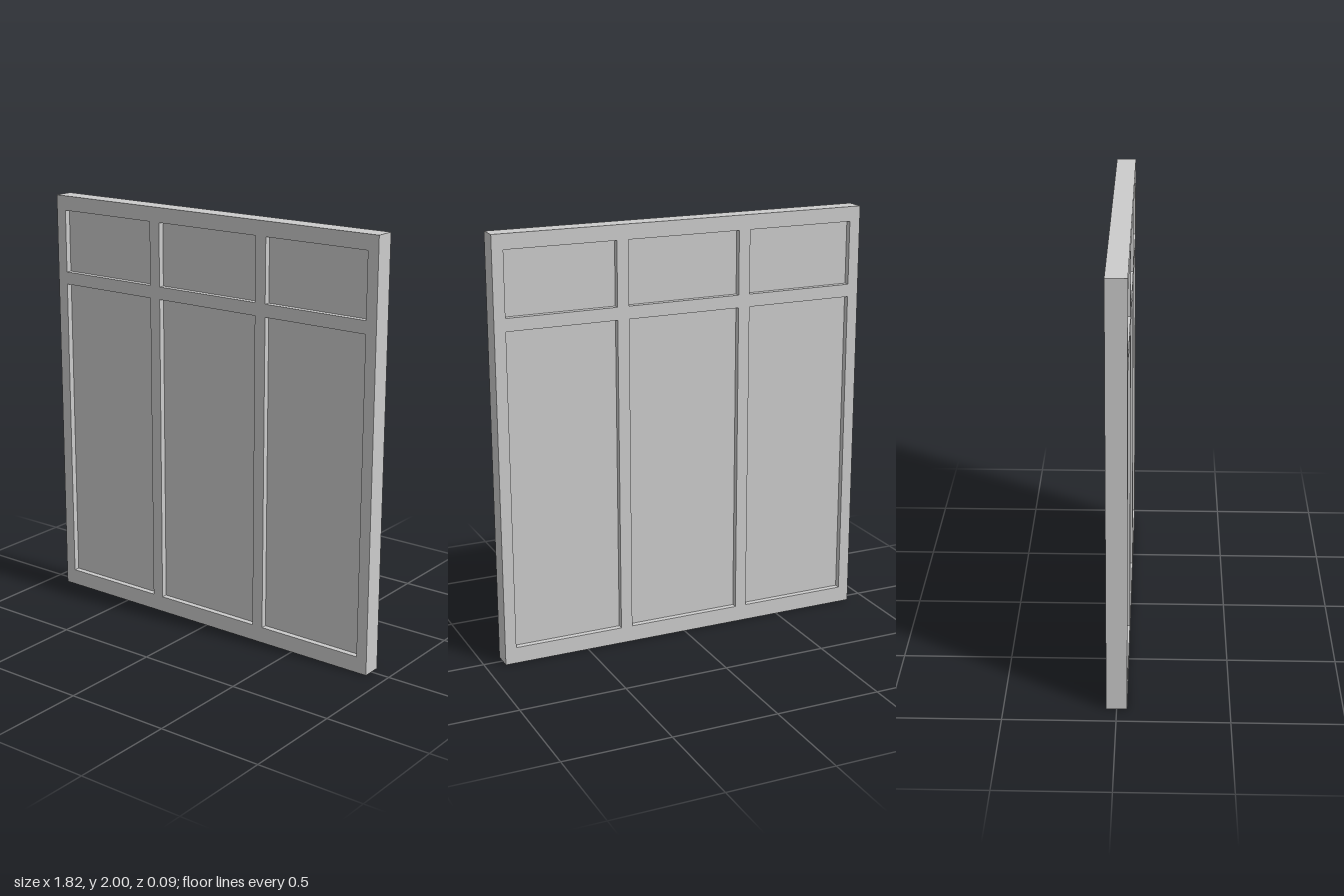
import * as THREE from 'three';

const HALF_W = 0.908, HEIGHT = 2, DEPTH = 0.093, PANE_DEPTH = 0.037;
const COLUMNS = [[-0.855, -0.33], [-0.274, 0.274], [0.33, 0.855]];
const ROWS = [[0.077, 1.57], [1.63, 1.93]];

function rectangle(path, x0, x1, y0, y1) {
  path.moveTo(x0, y0);
  path.lineTo(x1, y0);
  path.lineTo(x1, y1);
  path.lineTo(x0, y1);
  path.closePath();
  return path;
}

export function createModel() {
  const group = new THREE.Group();
  group.name = 'window';
  const material = new THREE.MeshStandardMaterial({ color: 0xcccccc, flatShading: true });

  // Frame with mullions and transom, cut from one outline
  const outline = rectangle(new THREE.Shape(), -HALF_W, HALF_W, 0, HEIGHT);
  // Panes set back equally from both faces
  const panes = new THREE.Group();
  panes.name = 'panes';
  for (const [y0, y1] of ROWS) {
    for (const [x0, x1] of COLUMNS) {
      outline.holes.push(rectangle(new THREE.Path(), x0, x1, y0, y1));
      const pane = new THREE.Mesh(new THREE.BoxGeometry(x1 - x0, y1 - y0, PANE_DEPTH), material);
      pane.name = y0 > 1 ? 'upperPane' : 'lowerPane';
      pane.position.set((x0 + x1) / 2, (y0 + y1) / 2, 0);
      panes.add(pane);
    }
  }
  const frameGeometry = new THREE.ExtrudeGeometry(outline, { depth: DEPTH, bevelEnabled: false });
  frameGeometry.translate(0, 0, -DEPTH / 2);
  const frame = new THREE.Mesh(frameGeometry, material);
  frame.name = 'frame';

  group.add(frame, panes);
  return group;
}
